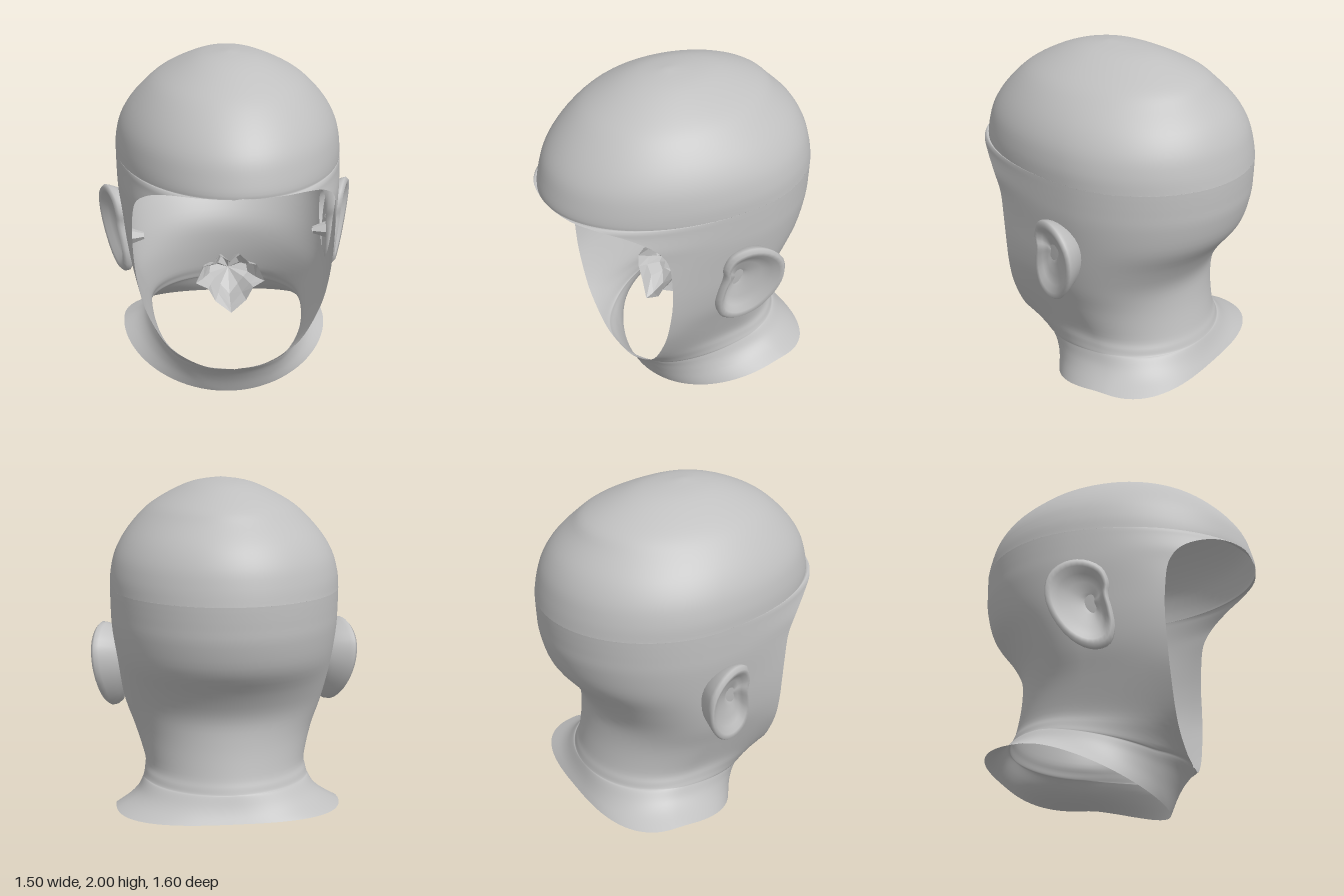
import * as THREE from 'three';
import { mergeVertices } from 'three/addons/utils/BufferGeometryUtils.js';

// Skin a list of equally long point rows into one smooth surface
function skin(rows, flip = false) {
  const n = rows[0].length, pos = [], idx = [];
  rows.forEach(r => r.forEach(p => pos.push(...p)));
  for (let i = 0; i < rows.length - 1; i++) {
    for (let j = 0; j < n - 1; j++) {
      const a = i * n + j, b = a + 1, c = a + n, d = c + 1;
      if (flip) idx.push(a, c, b, b, c, d);
      else idx.push(a, b, c, b, d, c);
    }
  }
  let g = new THREE.BufferGeometry();
  g.setAttribute('position', new THREE.Float32BufferAttribute(pos, 3));
  g.setIndex(idx);
  g = mergeVertices(g, 1e-4);
  g.computeVertexNormals();
  return g;
}

// Uniform Catmull-Rom through lists of numbers
function smoothRows(keys, sub) {
  const out = [], at = i => keys[Math.min(Math.max(i, 0), keys.length - 1)];
  for (let i = 0; i < keys.length - 1; i++) {
    for (let k = 0; k < sub; k++) {
      const t = k / sub;
      out.push(at(i).map((p, c) => {
        const a = at(i - 1)[c], q = at(i + 1)[c], d = at(i + 2)[c];
        return 0.5 * (2 * p + (q - a) * t + (2 * a - 5 * p + 4 * q - d) * t * t
          + (3 * p - a - 3 * q + d) * t * t * t);
      }));
    }
  }
  out.push(keys[keys.length - 1]);
  return out;
}

// Head sections: height, half width, z of widest point, back z,
// face edge x, face edge z, back squareness, drop toward the front
const SECTIONS = [
  [0.21, 0.63, -0.30, -0.69, 0, 0.26, 2.8, 0.21],
  [0.25, 0.55, -0.27, -0.665, 0, 0.30, 2.5, 0.16],
  [0.29, 0.50, -0.25, -0.645, 0, 0.35, 2.3, 0.12],
  [0.34, 0.472, -0.22, -0.625, 0, 0.40, 2.1, 0.115],
  [0.35, 0.468, -0.21, -0.62, 0.15, 0.40, 2, 0.105],
  [0.38, 0.46, -0.20, -0.61, 0.30, 0.39, 2, 0.06],
  [0.44, 0.457, -0.16, -0.59, 0.40, 0.385, 2, 0.02],
  [0.60, 0.508, -0.08, -0.56, 0.49, 0.38, 2, 0],
  [0.75, 0.56, -0.08, -0.56, 0.53, 0.375, 2, 0],
  [0.90, 0.592, -0.10, -0.635, 0.55, 0.37, 2, 0],
  [1.05, 0.612, -0.12, -0.745, 0.556, 0.375, 2, 0],
  [1.20, 0.63, -0.12, -0.79, 0.55, 0.395, 2, 0],
  [1.30, 0.634, -0.12, -0.798, 0.525, 0.46, 2, 0],
  [1.37, 0.635, -0.12, -0.80, 0.45, 0.57, 2, 0],
  [1.405, 0.635, -0.12, -0.80, 0.35, 0.68, 2, 0],
  [1.417, 0.635, -0.12, -0.80, 0.20, 0.77, 2, 0],
  [1.42, 0.635, -0.12, -0.80, 0, 0.80, 2, 0],
  [1.50, 0.63, -0.11, -0.785, 0, 0.785, 2, 0],
].concat([
  [1.60, 0.605, -0.09, -0.755, 0.75],
  [1.70, 0.55, -0.06, -0.695, 0.68],
  [1.80, 0.465, -0.02, -0.595, 0.58],
  [1.87, 0.38, 0, -0.515, 0.48],
  [1.94, 0.25, 0.03, -0.35, 0.335],
  [1.98, 0.14, 0.04, -0.19, 0.2],
  [2.0, 0, 0.05, 0.05, 0.05],
].map(([y, w, zc, zb, zf]) => [y, w, zc, zb, 0, zf, 2, 0]));

// Shell of skull and neck; each row runs from one face edge round the back to the other
function headGeometry() {
  const N = 44;
  const rows = smoothRows(SECTIONS, 4).map(([y, w, zc, zb, xe, ze, n, drop]) => {
    const start = w > 0.001 ? Math.asin(THREE.MathUtils.clamp(xe / w, 0, 0.985)) : 0;
    const front = (ze - zc) / Math.cos(start);
    const row = [];
    for (let j = 0; j <= 2 * N; j++) {
      const s = j <= N ? j / N : (2 * N - j) / N;
      const a = start + (Math.PI - start) * s;
      const e = a > Math.PI / 2 ? 2 / n : 1;
      const c = Math.cos(a);
      const x = w * Math.pow(Math.max(Math.sin(a), 0), e) * (j <= N ? 1 : -1);
      const z = c >= 0 ? zc + front * c : zc + (zb - zc) * Math.pow(-c, e);
      const g = THREE.MathUtils.clamp((z + 0.35) / 0.61, 0, 1);
      row.push([j % N === 0 && s === 1 ? 0 : x, y - drop * Math.pow(g, 1.4), z]);
    }
    return row;
  });
  return skin(rows);
}

// Ear: outline rings from the root over the rim into the bowl
const EAR_OUTLINE = [[-0.04, 1.2], [0.05, 1.16], [0.085, 1.08], [0.08, 1.01], [0.1, 0.92],
  [0.11, 0.82], [0.08, 0.73], [0, 0.7], [-0.1, 0.74], [-0.19, 0.85], [-0.235, 0.98],
  [-0.22, 1.1], [-0.14, 1.18]];
const EAR_RINGS = [[0.7, -0.1, 1], [0.88, -0.05, 0.5], [0.98, -0.025, 0], [1, 0, 0],
  [0.93, 0.018, 0], [0.82, 0.012, 0], [0.68, -0.015, 0], [0.5, -0.035, 0],
  [0.25, -0.045, 0], [0.1, -0.07, 0], [0, -0.09, 0]];

function earGeometry(side) {
  const curve = new THREE.CatmullRomCurve3(
    EAR_OUTLINE.map(([z, y]) => new THREE.Vector3(0, y, z)), true);
  const pts = curve.getPoints(40);
  const rows = EAR_RINGS.map(([k, dx, root], i) => pts.map(p => {
    const inner = Math.max(0, i - 4) / 6;
    const cz = -0.06 + 0.05 * inner, cy = 0.95 + 0.04 * inner;
    const z = cz + (p.z - cz) * k, y = cy + (p.y - cy) * k;
    const x = 0.665 - 0.35 * (z + 0.06) + 0.09 * (y - 0.95) + dx;
    return [side * THREE.MathUtils.lerp(x, 0.565, root), y, z];
  }));
  return skin(rows, side < 0);
}

// Crumpled mouth pocket: half outline x, y, z, mirrored and drawn back to a point
function mouthGeometry() {
  const half = [[0, 0.775, 0.12], [0.06, 0.81, 0.1], [0.11, 0.77, 0.14], [0.16, 0.74, 0.1],
    [0.2, 0.65, 0.13], [0.13, 0.63, 0.17], [0.09, 0.55, 0.17], [0, 0.485, 0.2]];
  const rim = half.concat(half.slice(0, -1).reverse().map(([x, y, z]) => [-x, y, z]));
  const ring = (k, dz) => rim.map(([x, y, z], i) => {
    const q = k < 1 ? k * (i % 2 ? 1.08 : 0.94) : 1;
    return [x * q, 0.67 + (y - 0.67) * q, z - dz];
  });
  return skin([ring(0, 0.15).map(() => [0, 0.68, -0.02]), ring(0.6, 0.12), ring(0.82, 0.05), ring(1, 0)]);
}

export function createModel() {
  const model = new THREE.Group();
  model.name = 'headShell';
  const grey = new THREE.MeshStandardMaterial({ color: 0xc0c0c0, side: THREE.DoubleSide });
  grey.name = 'plain grey';
  const facetedGrey = grey.clone();
  facetedGrey.name = 'faceted grey';
  facetedGrey.flatShading = true;

  const add = (name, geometry, material = grey) => {
    const mesh = new THREE.Mesh(geometry, material);
    mesh.name = name;
    model.add(mesh);
    return mesh;
  };

  add('skullAndNeck', headGeometry());
  add('mouthPocket', mouthGeometry(), facetedGrey);
  for (const side of [1, -1]) {
    const label = side > 0 ? 'left' : 'right';
    add(label + 'Ear', earGeometry(side));
    // Ear canal poking inside the shell
    const canal = add(label + 'EarCanal', new THREE.CylinderGeometry(0.02, 0.055, 0.1, 6, 1, true), facetedGrey);
    canal.rotation.z = side * Math.PI / 2;
    canal.position.set(side * 0.54, 0.92, 0.03);
  }
  return model;
}
